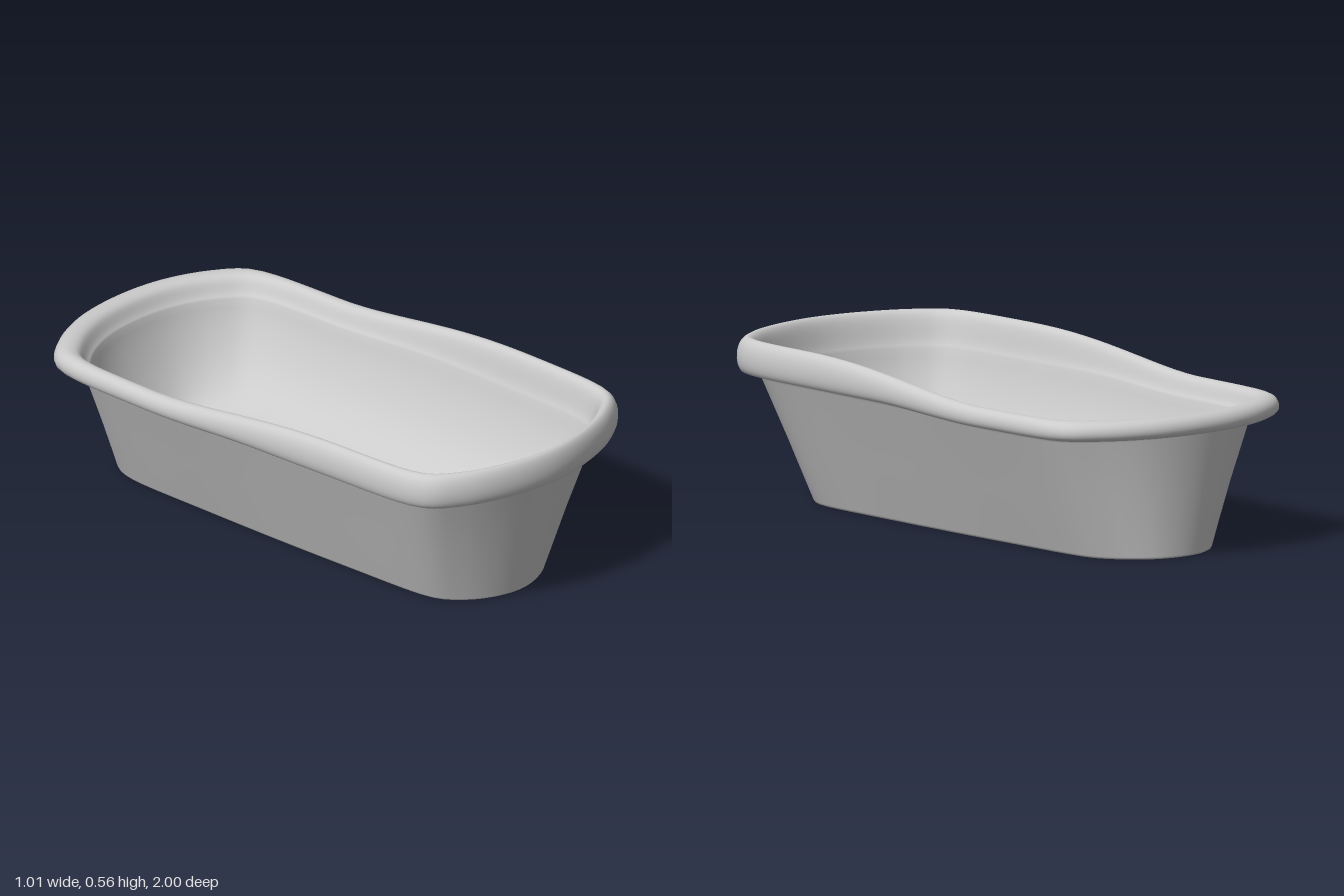
import * as THREE from 'three';

const SEGMENTS = 128;

// Plan outline, normalised to half width 1 and half length 1 (right half mirrored to the left)
const half = [
  [0, 1], [0.4, 0.972], [0.72, 0.909], [0.91, 0.83], [0.96, 0.74], [0.987, 0.4], [1, 0],
  [0.987, -0.4], [0.96, -0.74], [0.91, -0.825], [0.72, -0.907], [0.4, -0.976], [0, -1],
];
const loop = [...half, ...half.slice(1, -1).reverse().map(([x, z]) => [-x, z])];
const outline = new THREE.CatmullRomCurve3(
  loop.map(([x, z]) => new THREE.Vector3(x, 0, z)), true, 'centripetal'
).getSpacedPoints(SEGMENTS).slice(0, SEGMENTS);

const smooth = (t) => THREE.MathUtils.smoothstep(t, 0, 1);
// Underside and crest of the rim both dip toward the back
const rimLow = (z) => 0.44 - 0.02 * smooth((0.1 - z) / 0.5);
const rimHigh = (z) =>
  0.556 - 0.071 * smooth(Math.pow(THREE.MathUtils.clamp((0.5 - z) / 0.92, 0, 1), 1.3));

// k = 0..1 runs from the ground to the rim underside, 1..2 through the rim thickness
const height = (k, z) => k <= 1
  ? k * rimLow(z)
  : rimLow(z) + (k - 1) * (rimHigh(z) - rimLow(z));

// Skins a series of rings [halfWidth, frontLength, backLength, k]; corners get rounder toward the ground
function loft(name, rings, material) {
  const positions = [], index = [];
  rings.forEach(([w, front, back, k], i) => {
    const rounding = 0.03 * Math.max(0, 1 - k);
    outline.forEach((p, j) => {
      const z = p.z * (p.z > 0 ? front : back) * (1 - rounding * p.x ** 4);
      positions.push(p.x * w, height(k, z), z);
      if (i === rings.length - 1) return;
      const a = i * SEGMENTS + j, b = i * SEGMENTS + (j + 1) % SEGMENTS;
      index.push(a, b, b + SEGMENTS, a, b + SEGMENTS, a + SEGMENTS);
    });
  });
  const geometry = new THREE.BufferGeometry();
  geometry.setAttribute('position', new THREE.Float32BufferAttribute(positions, 3));
  geometry.setIndex(index);
  geometry.computeVertexNormals();
  const mesh = new THREE.Mesh(geometry, material);
  mesh.name = name;
  return mesh;
}

// Turns a few control rings into a smooth profile (cubic B-spline, ends kept)
function refine(rings, stepsPerSpan) {
  const first = rings[0], last = rings[rings.length - 1];
  const ctrl = [first, first, ...rings, last, last];
  const result = [first];
  for (let i = 0; i + 3 < ctrl.length; i++) {
    for (let s = 1; s <= stepsPerSpan; s++) {
      const t = s / stepsPerSpan;
      const weights = [
        (1 - t) ** 3, 3 * t ** 3 - 6 * t ** 2 + 4, -3 * t ** 3 + 3 * t ** 2 + 3 * t + 1, t ** 3,
      ];
      result.push([0, 1, 2, 3].map((c) =>
        weights.reduce((sum, weight, n) => sum + weight * ctrl[i + n][c], 0) / 6));
    }
  }
  return result;
}

export function createModel() {
  const group = new THREE.Group();
  group.name = 'bathtub';
  const material = new THREE.MeshStandardMaterial({ color: 0xcccccc, side: THREE.DoubleSide });

  // Flat underside
  group.add(loft('base', [[0, 0, 0, 0], [0.263, 0.823, 0.883, 0]], material));

  // Flared outer wall with a small rounded foot, turning out slightly under the rim
  group.add(loft('outerWall', [
    [0.263, 0.823, 0.883, 0], [0.268, 0.828, 0.888, 0.006], [0.272, 0.832, 0.89, 0.02],
    [0.357, 0.881, 0.898, 0.5], [0.44, 0.93, 0.906, 0.96], [0.445, 0.935, 0.909, 0.985],
    [0.452, 0.942, 0.917, 1], [0.458, 0.95, 0.93, 1.2],
  ], material));

  // Hanging lip, rolled rim and rounded inner basin in one continuous skin;
  // the floor closes on a line along the middle
  group.add(loft('rimAndBasin', refine([
    [0.458, 0.95, 0.93, 1.2], [0.463, 0.956, 0.945, 1.04], [0.476, 0.969, 0.968, 0.99],
    [0.494, 0.985, 0.989, 1.01], [0.504, 0.994, 1, 1.2], [0.507, 0.997, 1.003, 1.5],
    [0.5, 0.99, 0.993, 1.86], [0.478, 0.974, 0.967, 2.06], [0.456, 0.957, 0.934, 1.98],
    [0.445, 0.946, 0.919, 1.78], [0.437, 0.938, 0.911, 1.48], [0.428, 0.929, 0.901, 1.12],
    [0.414, 0.918, 0.888, 0.93], [0.385, 0.895, 0.865, 0.74], [0.345, 0.868, 0.835, 0.55],
    [0.285, 0.835, 0.797, 0.37], [0.21, 0.808, 0.768, 0.26], [0.14, 0.797, 0.758, 0.23],
    [0.07, 0.79, 0.753, 0.222], [0, 0.785, 0.75, 0.218],
  ], 3), material));

  return group;
}
